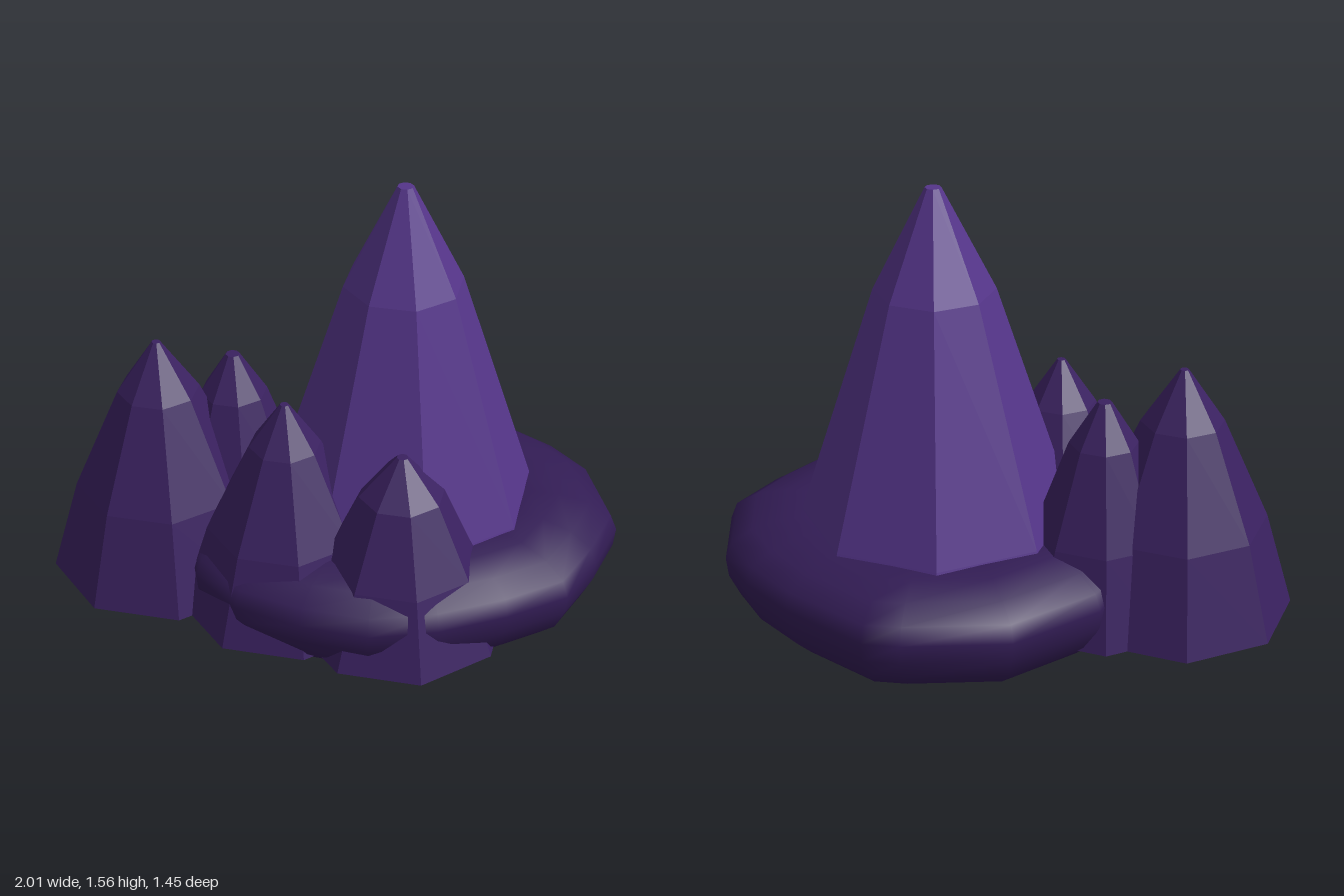
import * as THREE from 'three';

// Eight-sided faceted spire; rings are [y, radius] from base to tip
function spire(name, x, z, rings, color) {
  const pts = [[0, rings[0][0]], ...rings.map(([y, r]) => [r, y]), [0, rings.at(-1)[0]]]
    .map(([r, y]) => new THREE.Vector2(r, y));
  const geo = new THREE.LatheGeometry(pts, 8).toNonIndexed();
  geo.computeVertexNormals();
  const mesh = new THREE.Mesh(geo, new THREE.MeshStandardMaterial({ color, flatShading: true }));
  mesh.name = name;
  mesh.position.set(x, 0, z);
  return mesh;
}

// Rounded slab: an irregular plan outline scaled through a bulging side profile
function boulder(color) {
  const cx = 0.23, cz = -0.03;
  const outline = [[1, 0.18], [0.87, 0.37], [0.72, 0.54], [0.49, 0.61], [0.24, 0.65], [0, 0.64],
    [-0.22, 0.54], [-0.42, 0.4], [-0.53, 0.2], [-0.53, 0], [-0.48, -0.25], [-0.31, -0.52],
    [-0.01, -0.72], [0.36, -0.73], [0.49, -0.71], [0.75, -0.49], [0.9, -0.31], [0.99, -0.13]];
  const profile = [[0, 0], [0, 0.78], [0.015, 0.86], [0.07, 0.94], [0.15, 0.99], [0.22, 1],
    [0.28, 0.97], [0.33, 0.87], [0.36, 0.73], [0.365, 0.6], [0.34, 0.35], [0.32, 0]];
  const n = outline.length, pos = [], idx = [];
  profile.forEach(([y, s]) => outline.forEach(([x, z]) =>
    pos.push(cx + (x - cx) * s, y, cz + (z - cz) * s)));
  for (let j = 0; j < profile.length - 1; j++) {
    for (let i = 0; i < n; i++) {
      const a = j * n + i, b = j * n + (i + 1) % n, c = a + n, d = b + n;
      if (j > 0) idx.push(a, c, b);
      if (j < profile.length - 2) idx.push(b, c, d);
      if (j === 0) idx.push(a, c, d);
    }
  }
  const geo = new THREE.BufferGeometry();
  geo.setAttribute('position', new THREE.Float32BufferAttribute(pos, 3));
  geo.setIndex(idx);
  geo.computeVertexNormals();
  const mesh = new THREE.Mesh(geo, new THREE.MeshStandardMaterial({ color }));
  mesh.name = 'baseRock';
  return mesh;
}

export function createModel() {
  const group = new THREE.Group();
  group.name = 'crystalCluster';
  const dark = 0x3a2160;
  group.add(
    boulder(0x321c54),
    // Tall central crystal, sunk into the rock
    spire('mainCrystal', 0.24, -0.03, [[0.2, 0.53], [0.37, 0.48], [1.2, 0.21], [1.56, 0.028]], 0x55358a),
    // Smaller crystals around it
    spire('outerCrystal', -0.6, -0.18, [[0.055, 0.41], [0.4, 0.31], [0.77, 0.145], [0.96, 0.015]], dark),
    spire('backCrystal', -0.33, -0.22, [[0.055, 0.32], [0.38, 0.24], [0.71, 0.12], [0.86, 0.025]], dark),
    spire('middleCrystal', -0.2, 0.14, [[0.055, 0.38], [0.38, 0.28], [0.7, 0.125], [0.86, 0.015]], dark),
    spire('frontCrystal', 0.17, 0.34, [[0.055, 0.38], [0.33, 0.28], [0.59, 0.15], [0.735, 0.02]], dark)
  );
  return group;
}
